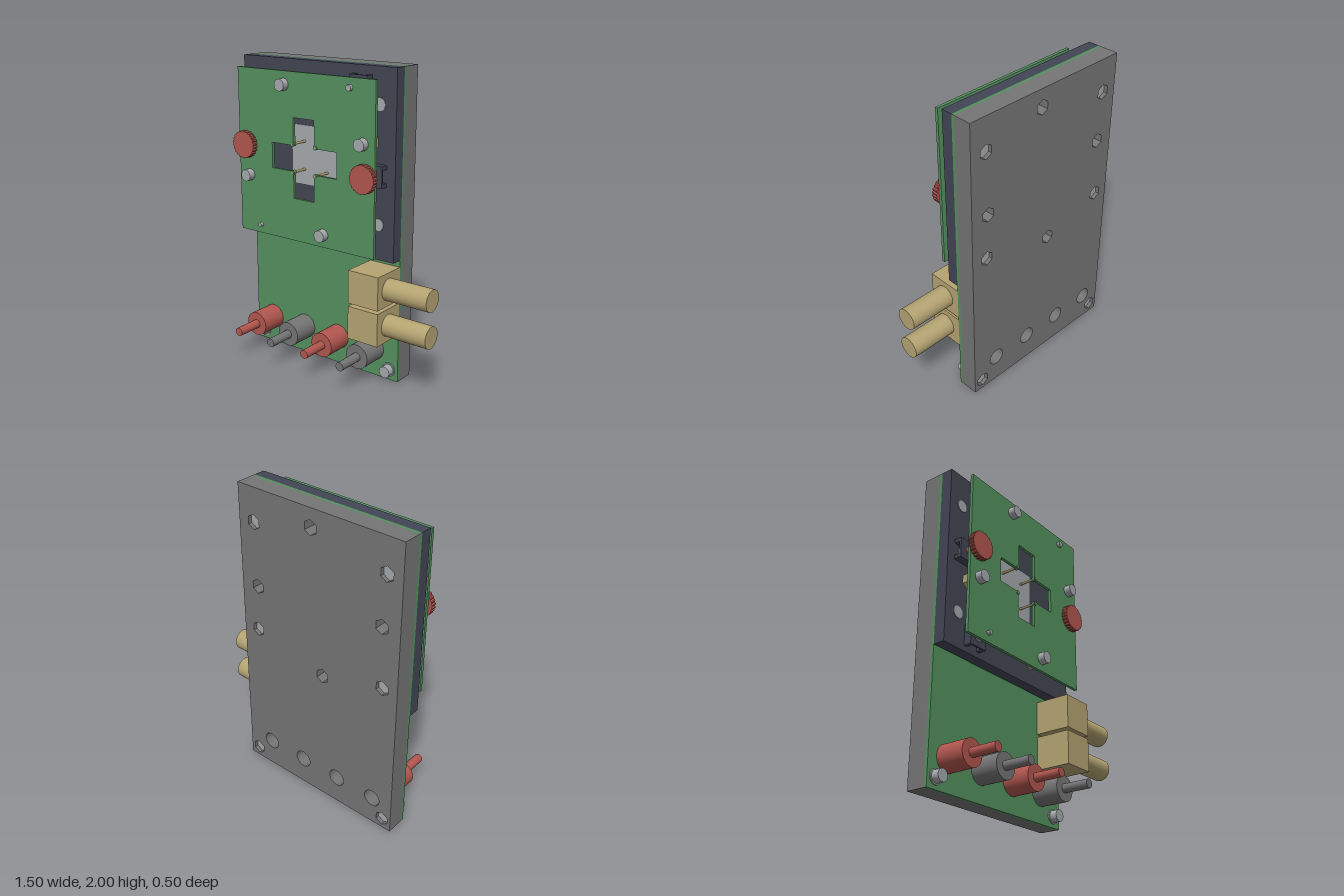
import * as THREE from 'three';

const mat = (name, color, side = THREE.FrontSide) => {
  const m = new THREE.MeshStandardMaterial({ color, side });
  m.name = name;
  return m;
};

export function createModel() {
  const root = new THREE.Group();
  root.name = 'testFixture';
  const plateGrey = mat('plate grey', 0x757575);
  const green = mat('board green', 0x55905f);
  const dark = mat('dark slate', 0x424554);
  const red = mat('terminal red', 0xb2564f);
  const brass = mat('brass', 0xb5a472);
  const steel = mat('light steel', 0xa6aaad);

  const add = (name, geo, material, parent = root) => {
    const mesh = new THREE.Mesh(geo, material);
    mesh.name = name;
    parent.add(mesh);
    return mesh;
  };
  // Box given by its minimum and maximum on each axis
  const box = (name, m, x0, x1, y0, y1, z0, z1, parent) => {
    const b = add(name, new THREE.BoxGeometry(x1 - x0, y1 - y0, z1 - z0), m, parent);
    b.position.set((x0 + x1) / 2, (y0 + y1) / 2, (z0 + z1) / 2);
    return b;
  };
  // Cylinder or prism along z between z0 and z1
  const rod = (name, m, x, y, z0, z1, r, sides = 32, parent = root) => {
    let g = new THREE.CylinderGeometry(r, r, z1 - z0, sides).rotateX(Math.PI / 2);
    if (sides <= 6) {
      g = g.toNonIndexed();
      g.computeVertexNormals();
    }
    const c = add(name, g, m, parent);
    c.position.set(x, y, (z0 + z1) / 2);
    return c;
  };
  const rectShape = (x0, x1, y0, y1) => new THREE.Shape([
    new THREE.Vector2(x0, y0), new THREE.Vector2(x1, y0),
    new THREE.Vector2(x1, y1), new THREE.Vector2(x0, y1)]);
  const ringPath = (x, y, r, n) => {
    const pts = [];
    for (let i = 0; i < n; i++) {
      const a = -i / n * Math.PI * 2;
      pts.push(new THREE.Vector2(x + r * Math.sin(a), y + r * Math.cos(a)));
    }
    return new THREE.Path(pts);
  };
  const slab = (name, shape, m, z0, z1) => {
    const g = new THREE.ExtrudeGeometry(shape, { depth: z1 - z0, bevelEnabled: false });
    add(name, g, m).position.z = z0;
  };

  const plugXs = [-0.602, -0.318, -0.035, 0.248];
  const boardScrews = [[-0.685, 0.07], [0.373, 0.07]];
  const blockScrews = [[0.325, 1.78], [-0.644, 1.78], [0.325, 1.05], [-0.644, 1.05]];
  const knobs = [[-0.625, 1.45], [0.312, 1.358]];
  const pins = [[0.2, 1.88], [-0.513, 0.928]];
  const blindHoles = [...knobs, [-0.113, 1.88], [-0.2, 0.93]];

  // Back plate with nut pockets and terminal clearance holes
  const plate = rectShape(-0.75, 0.44, 0, 2);
  plugXs.forEach(x => plate.holes.push(ringPath(x, 0.19, 0.057, 28)));
  [...boardScrews, ...blockScrews, ...blindHoles].forEach(([x, y]) =>
    plate.holes.push(ringPath(x, y, 0.048, 6)));
  slab('backPlate', plate, plateGrey, -0.25, -0.13);
  [...boardScrews, ...blockScrews].forEach(([x, y]) =>
    rod('backNut', steel, x, y, -0.225, -0.13, 0.047, 6));
  blindHoles.forEach(([x, y]) => rod('pocketFloor', plateGrey, x, y, -0.16, -0.13, 0.047, 6));

  // Main circuit board and carrier block
  box('mainBoard', green, -0.75, 0.44, 0, 2, -0.13, -0.11);
  box('carrierBlock', dark, -0.75, 0.44, 0.825, 2, -0.11, -0.035);
  box('sample', steel, -0.345, 0.035, 1.215, 1.595, -0.038, -0.032);
  blockScrews.forEach(([x, y]) => rod('carrierScrew', steel, x, y, -0.05, -0.031, 0.038));
  boardScrews.forEach(([x, y]) => {
    rod('boardWasher', steel, x, y, -0.112, -0.102, 0.046);
    rod('boardScrew', steel, x, y, -0.11, -0.055, 0.038);
  });

  // Upper board with a cross-shaped window
  const upper = rectShape(-0.69, 0.38, 0.87, 1.94);
  const cx = -0.154, cy = 1.404, w = 0.082, l = 0.256;
  const cross = [[-w, l], [w, l], [w, w], [l, w], [l, -w], [w, -w],
    [w, -l], [-w, -l], [-w, -w], [-l, -w], [-l, w], [-w, w]];
  upper.holes.push(new THREE.Path(cross.map(([x, y]) => new THREE.Vector2(cx + x, cy + y))));
  slab('upperBoard', upper, green, 0.07, 0.09);

  // Contact pins at the inner corners of the window
  for (const sx of [-1, 1]) for (const sy of [-1, 1]) {
    const x = cx + sx * 0.09, y = cy + sy * 0.09;
    rod('contactCollar', green, x, y, 0.07, 0.092, 0.015, 16);
    rod('contactPin', brass, x, y, -0.032, 0.095, 0.008, 12);
  }

  // Hex standoffs with screws
  [[-0.308, 1.857], [0.294, 1.56], [-0.605, 1.25], [-0.003, 0.952]].forEach(([x, y]) => {
    rod('standoff', brass, x, y, 0, 0.07, 0.053, 6);
    rod('standoffScrew', steel, x, y, 0.09, 0.136, 0.038);
  });

  // Slotted nut holder: walls on three sides, a lid, and a captive nut
  const nutHolder = (x, y, angle) => {
    const g = new THREE.Group();
    g.name = 'nutHolder';
    g.position.set(x, y, 0);
    g.rotation.z = angle;
    const h = 0.067;
    box('holderLid', dark, -h, h, -h, h, 0.002, 0.015, g);
    box('holderWall', dark, -h, h, 0.042, h, -0.035, 0.002, g);
    box('holderWall', dark, -h, h, -h, -0.042, -0.035, 0.002, g);
    box('holderBack', dark, -h, -0.042, -0.042, 0.042, -0.035, 0.002, g);
    rod('captiveNut', steel, 0, 0, -0.032, 0, 0.042, 6, g);
    root.add(g);
  };
  nutHolder(...knobs[0], Math.PI);
  nutHolder(...knobs[1], 0);
  nutHolder(...pins[0], Math.PI / 2);
  nutHolder(...pins[1], -Math.PI / 2);

  // Knurled thumb screws
  knobs.forEach(([x, y]) => {
    rod('thumbScrewShaft', red, x, y, 0.01, 0.1, 0.024, 20);
    const s = new THREE.Shape();
    for (let i = 0; i < 72; i++) {
      const a = i / 72 * Math.PI * 2, r = i % 3 === 0 ? 0.083 : 0.089;
      s[i ? 'lineTo' : 'moveTo'](x + r * Math.cos(a), y + r * Math.sin(a));
    }
    slab('thumbScrewKnob', s, red, 0.092, 0.13);
  });

  // Stepped guide pins
  pins.forEach(([x, y], i) => {
    rod('guidePinBase', steel, x, y, 0.012, 0.07, 0.034);
    rod('guidePinTip', steel, x, y, 0.07, 0.112, i ? 0.014 : 0.019, 20);
  });

  // Terminal posts, alternating colours
  plugXs.forEach((x, i) => {
    const m = i % 2 ? plateGrey : red;
    rod('terminalBody', m, x, 0.19, -0.11, 0.072, 0.082, 40);
    rod('terminalPin', m, x, 0.19, 0.07, 0.25, 0.029, 24);
  });

  // Side coaxial connectors
  [[0.33, 0.545], [0.565, 0.78]].forEach(([y0, y1]) => {
    box('connectorBody', brass, 0.218, 0.44, y0, y1, -0.11, 0.126);
    const c = add('connectorBarrel',
      new THREE.CylinderGeometry(0.071, 0.071, 0.31, 40).rotateZ(Math.PI / 2), brass);
    c.position.set(0.595, (y0 + y1) / 2, 0.01);
  });

  return root;
}
